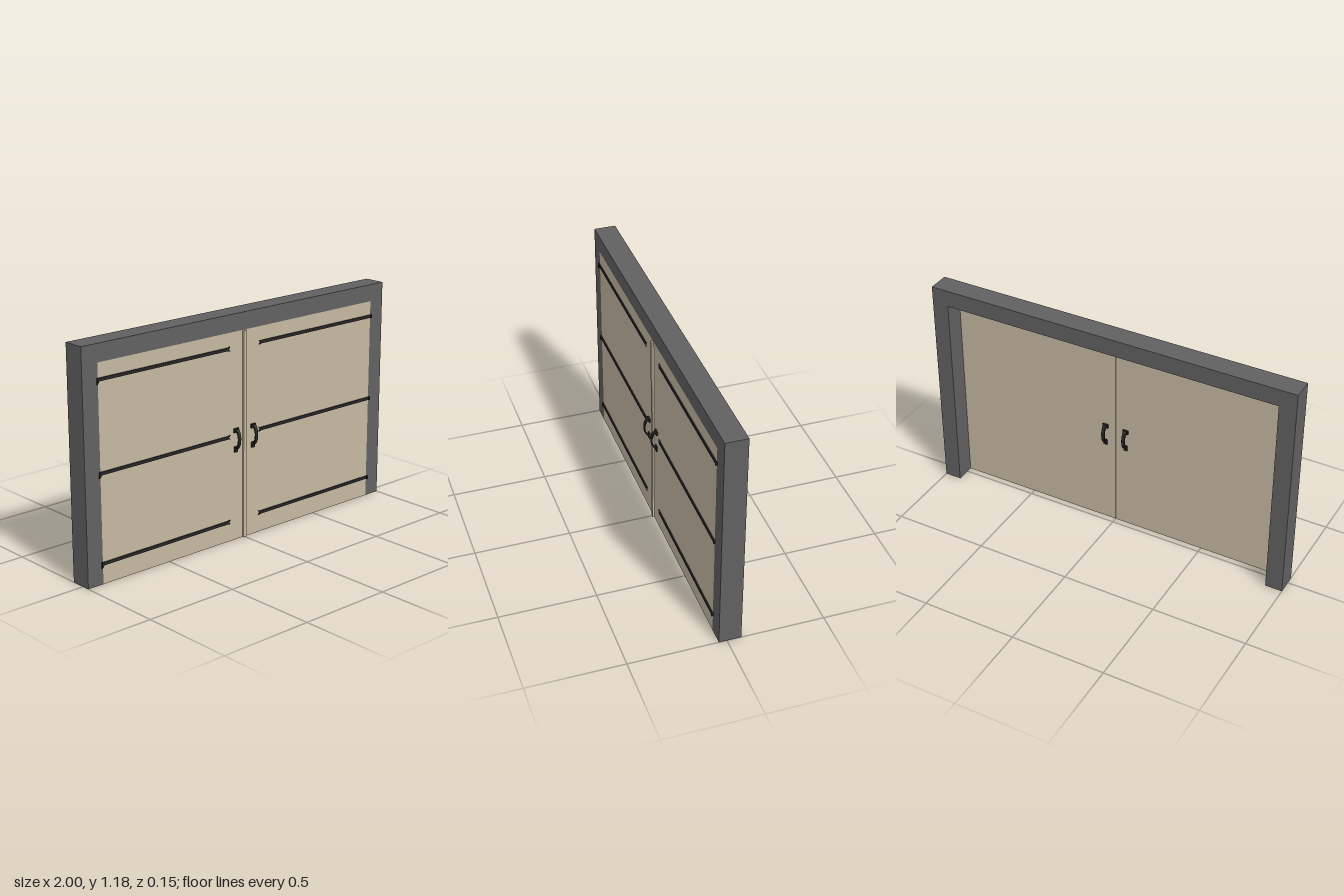
import * as THREE from 'three';

const mat = (name, color) => new THREE.MeshStandardMaterial({ name, color });

// Closed outline pushed out along z
function slab(points, depth) {
  const shape = new THREE.Shape(points.map(([x, y]) => new THREE.Vector2(x, y)));
  return new THREE.ExtrudeGeometry(shape, { depth, bevelEnabled: false });
}

export function createModel() {
  const group = new THREE.Group();
  const stone = mat('grey frame', 0x616161);
  const wood = mat('beige door', 0xc5b9a1);
  const iron = mat('black iron', 0x252525);
  const BACK = 0.031, FRONT = 0.041;

  function add(name, geometry, material, x = 0, y = 0, z = 0, parent = group) {
    const mesh = new THREE.Mesh(geometry, material);
    mesh.name = name;
    mesh.position.set(x, y, z);
    parent.add(mesh);
    return mesh;
  }
  const box = (w, h, d) => new THREE.BoxGeometry(w, h, d);

  // Surround: two posts and a lintel in one piece
  add('frame', slab([
    [-1, 0], [-0.91, 0], [-0.91, 1.093], [0.91, 1.093],
    [0.91, 0], [1, 0], [1, 1.183], [-1, 1.183],
  ], 0.114), stone, 0, 0, -0.073);

  // Cover strip over the joint of the doors
  add('coverStrip', box(0.022, 1.09, 0.009), wood, 0, 0.545, FRONT + 0.0045);

  // Bowed handle bar, drawn as (depth, height) and given width along x
  const outer = new THREE.SplineCurve([
    [0, 0.594], [0.018, 0.589], [0.029, 0.565], [0.032, 0.54],
    [0.027, 0.508], [0.014, 0.49], [0, 0.483],
  ].map((p) => new THREE.Vector2(...p))).getPoints(18);
  const inner = new THREE.SplineCurve([
    [0, 0.491], [0.011, 0.497], [0.021, 0.512], [0.026, 0.54],
    [0.023, 0.562], [0.014, 0.582], [0, 0.587],
  ].map((p) => new THREE.Vector2(...p))).getPoints(18);
  const barGeo = slab([...outer, ...inner].map((p) => [p.x, p.y]), 0.018);
  barGeo.translate(0, 0, -0.009).rotateY(-Math.PI / 2);

  function handle(name, x, z, turn) {
    const h = new THREE.Group();
    h.name = name;
    h.position.set(x, 0, z);
    h.rotation.y = turn;
    add('handleBar', barGeo, iron, 0, 0, 0, h);
    add('handleTopPlate', box(0.03, 0.022, 0.009), iron, 0, 0.585, 0.0045, h);
    add('handleBottomPlate', box(0.021, 0.03, 0.007), iron, 0, 0.485, 0.0035, h);
    group.add(h);
  }

  // Hinge strap with a forked inner end
  const strap = (s) => slab([
    [0.912, -0.008], [0.912, 0.008], [0.115, 0.008], [0.098, 0.011],
    [0.107, 0], [0.098, -0.011], [0.115, -0.008],
  ].map(([x, y]) => [s * x, y]), 0.006);

  for (const s of [-1, 1]) {
    const side = s > 0 ? 'left' : 'right';
    add(side + 'Door', box(0.908, 1.093, FRONT - BACK), wood,
      s * 0.456, 0.5465, (FRONT + BACK) / 2);
    handle(side + 'FrontHandle', s * 0.058, FRONT, 0);
    handle(side + 'BackHandle', s * 0.058, BACK, Math.PI);
    for (const y of [0.105, 0.557, 1.012]) {
      add(side + 'Strap', strap(s), iron, 0, y, FRONT);
      add(side + 'HingeEnd', box(0.008, 0.018, 0.009), iron, s * 0.912, y, FRONT + 0.0045);
      // Hooked hinge tail on one side only
      if (s < 0) {
        add('hingeHook', slab([
          [-0.919, -0.022], [-0.911, -0.016], [-0.905, 0.008], [-0.917, 0.008],
        ], 0.008), iron, 0, y, FRONT);
      }
    }
  }
  return group;
}
